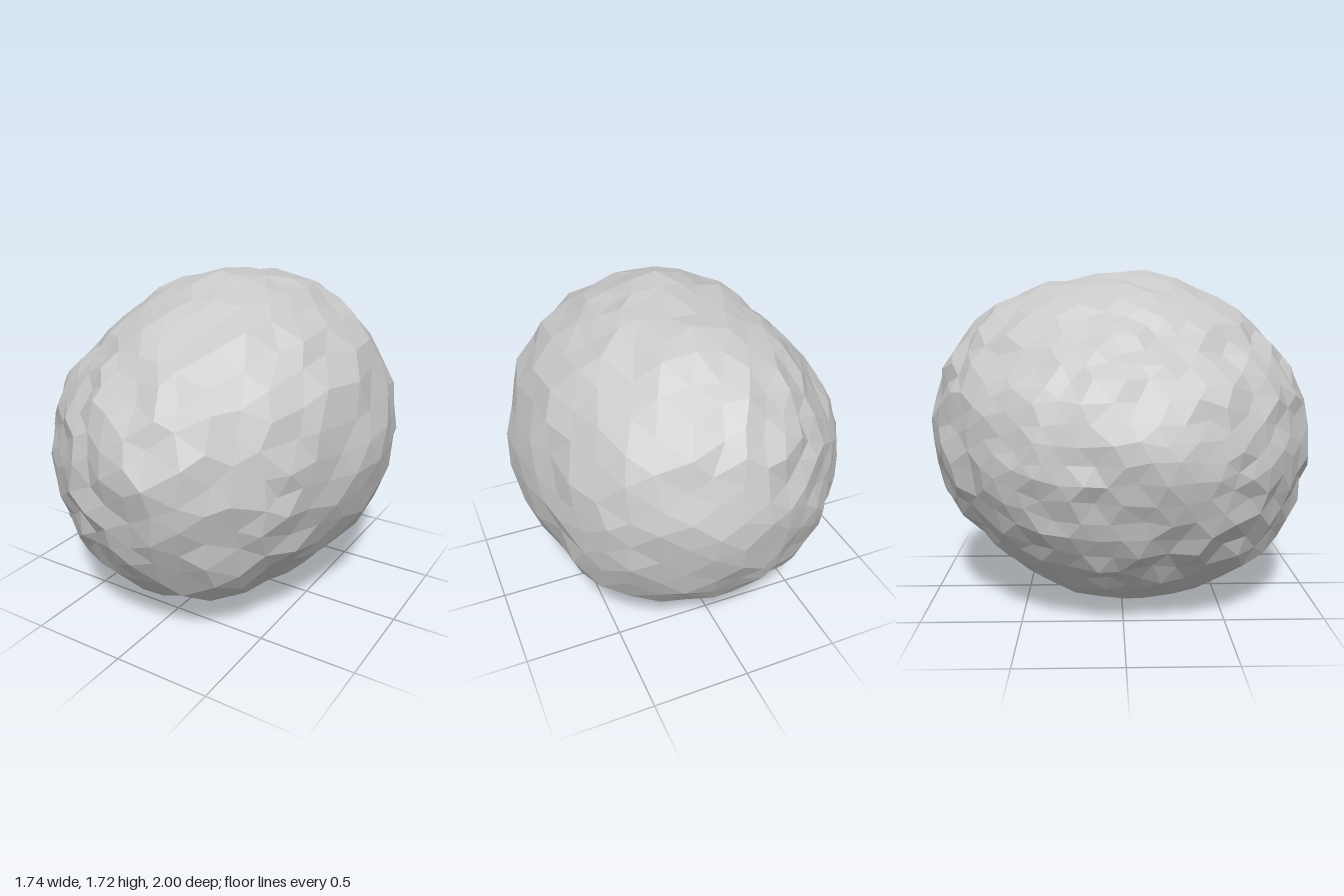
import * as THREE from 'three';

// Half extents of the rock
const HALF = new THREE.Vector3(0.865, 0.855, 1);

// Radius multipliers around the three main outlines, every 22.5 degrees
const FRONT = [1.005, 1.035, 1.04, 1.04, 1.005, 0.96, 0.91, 0.945, 1.01, 1.01, 1.035, 1.045, 1.01, 1.02, 0.965, 0.985]; // +x to +y
const SIDE = [1.005, 0.995, 0.98, 1, 1.005, 1.033, 1.04, 1.04, 1.005, 0.997, 0.97, 0.97, 1, 1.037, 1.06, 1.037]; // +z to +y
const TOP = [1.005, 0.966, 0.99, 1, 1.005, 0.997, 1.003, 1.04, 1, 1.017, 0.985, 0.998, 1.005, 1.013, 1.045, 1]; // +x to +z

// Low shoulders on two opposite diagonals
const SHOULDERS = [[-0.6, -0.45, 0.6], [0.6, -0.45, -0.6]].map((a) => new THREE.Vector3(...a).normalize());

// Outermost corners, in units of the half extents
const PEAKS = [
  [1, 0.08, 0.06], [-1, -0.04, 0.22], [0.03, 1, 0.15],
  [-0.1, -1, 0.2], [0.2, 0.07, 1], [0.16, 0.07, -1],
].map((a) => new THREE.Vector3(...a));

// Sample a ring of multipliers at the angle of (a, b)
function ring(values, a, b) {
  const n = values.length;
  const t = ((Math.atan2(b, a) / (Math.PI * 2) + 1) % 1) * n;
  const i = Math.floor(t) % n;
  return THREE.MathUtils.lerp(values[i], values[(i + 1) % n], t - Math.floor(t));
}

// Blend the three outlines, each strongest near its own plane, then add the shoulders
function outlineRadius(d) {
  const w = [d.z, d.x, d.y].map((c) => (1.001 - Math.abs(c)) ** 4);
  const r = [ring(FRONT, d.x, d.y), ring(SIDE, d.z, d.y), ring(TOP, d.x, d.z)];
  const blend = (w[0] * r[0] + w[1] * r[1] + w[2] * r[2]) / (w[0] + w[1] + w[2]);
  return SHOULDERS.reduce((sum, s) => sum + 0.03 * Math.exp(-8 * (1 - s.dot(d))), blend);
}

// Small seeded generator for the corner jitter, from -0.5 to 0.5
function seeded(seed) {
  let s = seed;
  return () => {
    s = (s * 1664525 + 1013904223) % 4294967296;
    return s / 4294967296 - 0.5;
  };
}

function rockGeometry() {
  const geometry = new THREE.IcosahedronGeometry(1, 7);
  const position = geometry.attributes.position;
  const random = seeded(29);
  const moved = new Map(); // shared corners move together
  const p = new THREE.Vector3();

  for (let i = 0; i < position.count; i++) {
    p.fromBufferAttribute(position, i);
    const key = p.toArray().map((c) => Math.round(c * 1000)).join();
    if (!moved.has(key)) {
      // Facets are finer towards -x, and corners wander a little
      const d = p.clone();
      d.x -= 0.2;
      d.add(new THREE.Vector3(random(), random(), random()).multiplyScalar(0.05)).normalize();
      // Rough surface lying just inside the outlines, drawn out to the peaks
      let radius = outlineRadius(d) - 0.027 + random() * 0.042;
      for (const peak of PEAKS) {
        const nearness = Math.exp(-70 * (1 - peak.dot(d) / peak.length()));
        radius = THREE.MathUtils.lerp(radius, peak.length(), nearness);
      }
      moved.set(key, d.multiplyScalar(radius).multiply(HALF));
    }
    p.copy(moved.get(key));
    position.setXYZ(i, p.x, p.y + HALF.y, p.z);
  }

  // Faces do not share corners, so these normals are flat
  geometry.computeVertexNormals();
  return geometry;
}

export function createModel() {
  const stone = new THREE.MeshStandardMaterial({ color: 0xc8c8c8 });
  stone.name = 'stone grey';

  const rock = new THREE.Mesh(rockGeometry(), stone);
  rock.name = 'rock';

  const model = new THREE.Group();
  model.name = 'boulder';
  model.add(rock);
  return model;
}
